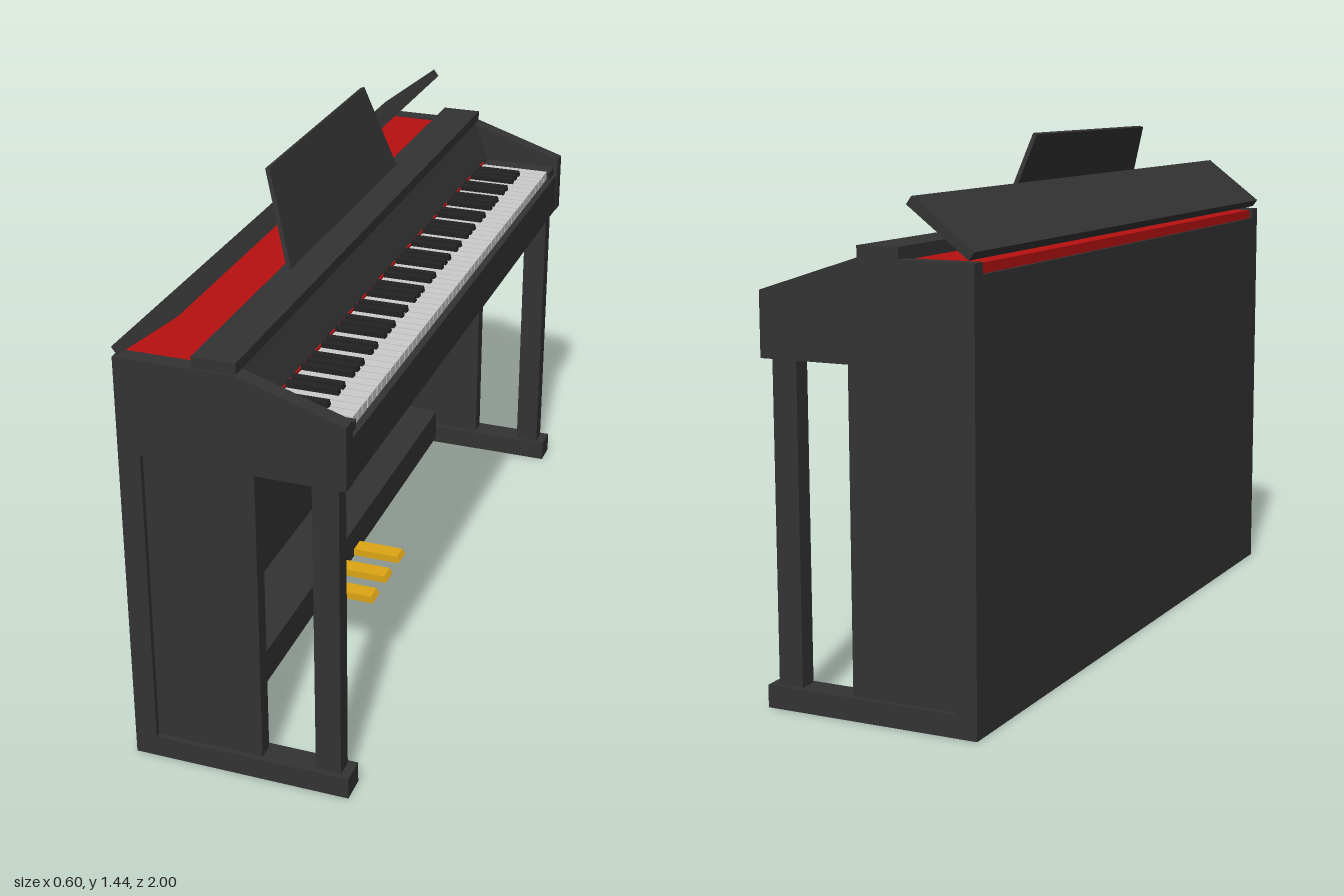
import * as THREE from 'three';

const material = (color) => new THREE.MeshStandardMaterial({ color, flatShading: true });

export function createModel() {
  const piano = new THREE.Group();
  piano.name = 'digitalPiano';
  const black = material(0x333333);
  const ebony = material(0x222222);
  const ivory = material(0xcccccc);
  const red = material(0xb81010);
  const gold = material(0xdda514);

  const add = (name, geometry, mat, parent = piano) => {
    const mesh = new THREE.Mesh(geometry, mat);
    mesh.name = name;
    parent.add(mesh);
    return mesh;
  };
  // Box given by its limits on each axis
  const box = (name, [x0, x1], [y0, y1], [z0, z1], mat = black, parent = piano) => {
    const g = new THREE.BoxGeometry(x1 - x0, y1 - y0, z1 - z0);
    g.translate((x0 + x1) / 2, (y0 + y1) / 2, (z0 + z1) / 2);
    return add(name, g, mat, parent);
  };
  // Side profile (x, y) swept along z
  const sweep = (name, points, z0, z1, mat = black, parent = piano) => {
    const shape = new THREE.Shape(points.map(([x, y]) => new THREE.Vector2(x, y)));
    const g = new THREE.ExtrudeGeometry(shape, { depth: z1 - z0, bevelEnabled: false });
    g.translate(0, 0, z0);
    return add(name, g, mat, parent);
  };

  // Cabinet back, lower rail and key bed
  box('backPanel', [-0.3, -0.24], [0, 1.13], [-1, 1]);
  sweep('pedalRail', [[-0.24, 0.015], [-0.085, 0.015], [-0.085, 0.115], [-0.24, 0.13]], -0.925, 0.925);
  box('keyBed', [-0.24, 0.275], [0.9, 1.02], [-0.955, 0.955]);
  box('keySlip', [0.275, 0.295], [0.9, 1.02], [-0.955, 0.955]);

  // Fallboard and raised top ridge
  sweep('fallboard', [[-0.09, 1.02], [0.065, 1.02], [0.065, 1.05], [0.02, 1.16], [-0.09, 1.16]], -0.955, 0.955);
  box('topRidge', [-0.095, 0.02], [1.155, 1.19], [-0.995, 0.995]);

  // Red inner deck under the open lid
  box('innerDeck', [-0.29, -0.09], [1.1, 1.156], [-0.957, 0.957], red);
  sweep('lid', [[-0.3, 1.186], [-0.285, 1.166], [-0.12, 1.292], [-0.135, 1.312]], -1, 1);

  // Ends: cheek, side panel, front leg, foot and key block
  for (const side of [1, -1]) {
    const end = new THREE.Group();
    end.name = side > 0 ? 'leftEnd' : 'rightEnd';
    piano.add(end);
    const span = (a, b) => (side > 0 ? [a, b] : [-b, -a]);
    const cheek = [[-0.3, 0.9], [0.297, 0.9], [0.297, 1.07], [0.02, 1.16], [-0.3, 1.16]];
    sweep('cheek', cheek, ...span(0.955, 1), black, end);
    box('sidePanel', [-0.24, 0.055], [0.06, 0.9], span(0.94, 0.985), black, end);
    box('frontLeg', [0.203, 0.272], [0.06, 0.9], span(0.935, 0.985), black, end);
    box('foot', [-0.3, 0.297], [0, 0.06], span(0.925, 1), black, end);
    box('keyBlock', [0.06, 0.285], [1.02, 1.045], span(0.9, 0.955), black, end);
  }

  // Music stand: leaning trapezoid board
  const board = new THREE.Shape([[-0.425, 0], [0.425, 0], [0.365, 0.262], [-0.365, 0.262]]
    .map(([x, y]) => new THREE.Vector2(x, y)));
  const standGeometry = new THREE.ExtrudeGeometry(board, { depth: 0.012, bevelEnabled: false });
  const stand = add('musicStand', standGeometry, black);
  stand.rotation.set(-0.31, 0, 0);
  const standPivot = new THREE.Group();
  standPivot.name = 'musicStandPivot';
  standPivot.rotation.y = Math.PI / 2;
  standPivot.position.set(-0.078, 1.187, 0);
  standPivot.add(stand);
  piano.add(standPivot);

  // Keyboard: 52 white keys from the low A at +z, 36 black keys
  const keys = new THREE.Group();
  keys.name = 'keyboard';
  piano.add(keys);
  const count = 52;
  const pitch = 1.8 / count;
  box('feltStrip', [0.06, 0.068], [1.02, 1.054], [-0.9, 0.9], red, keys);
  for (let i = 0; i < count; i++) {
    const zTop = 0.9 - i * pitch;
    box('whiteKey', [0.068, 0.277], [1.021, 1.048], [zTop - pitch + 0.002, zTop - 0.002], ivory, keys);
    // Sharps follow A, C, D, F and G
    if (i < count - 1 && [0, 2, 3, 5, 6].includes(i % 7)) {
      const z = zTop - pitch;
      sweep('blackKey', [[0.068, 1.03], [0.21, 1.03], [0.202, 1.062], [0.068, 1.062]], z - 0.01, z + 0.01, ebony, keys);
    }
  }

  // Three pedals with chamfered noses
  for (const z of [-0.12, 0, 0.12]) {
    const nose = [[-0.09, 0.018], [0.06, 0.018], [0.065, 0.025], [0.055, 0.04], [-0.09, 0.04]];
    sweep('pedal', nose, z - 0.026, z + 0.026, gold);
  }

  return piano;
}
